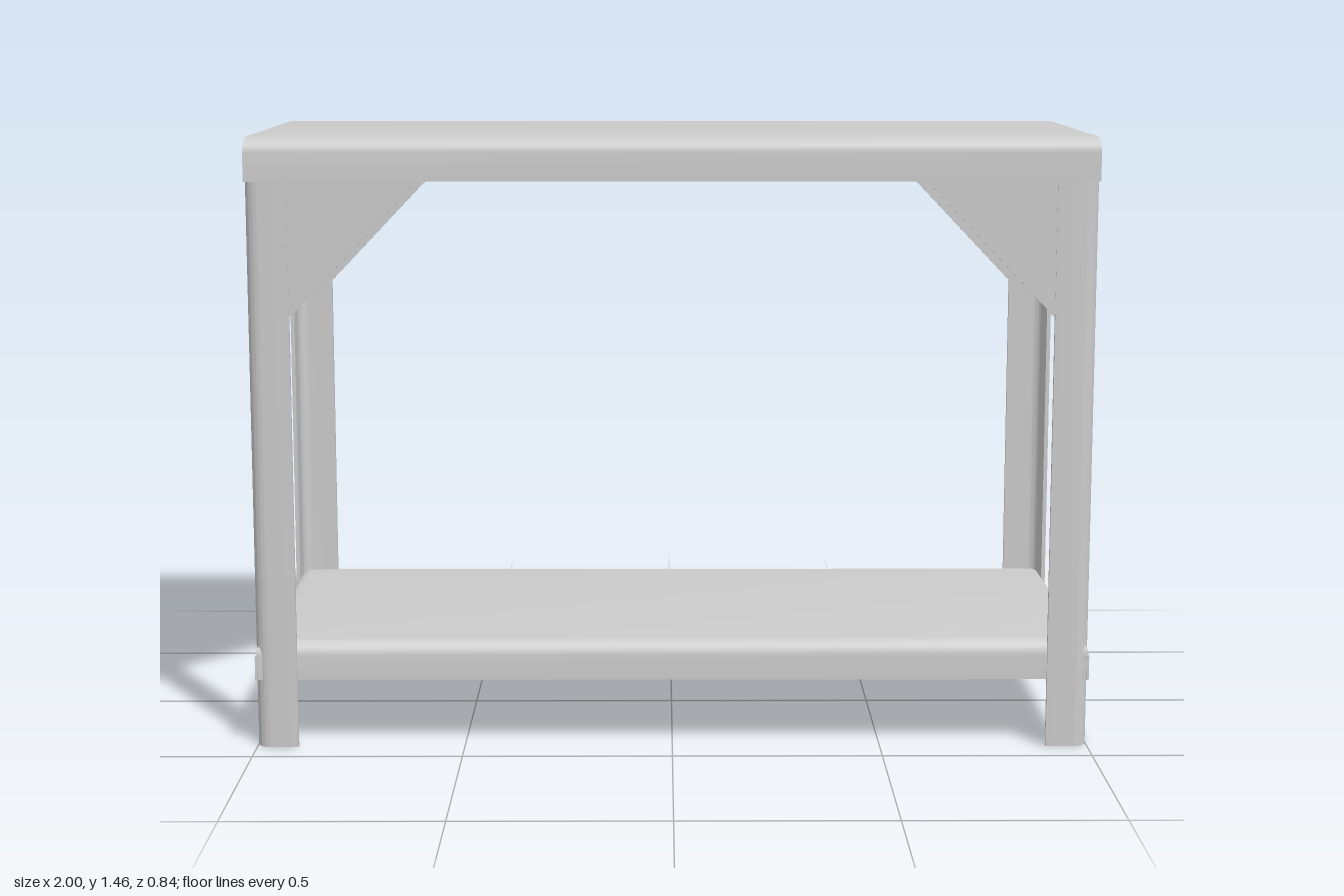
import * as THREE from 'three';
import { toCreasedNormals } from 'three/addons/utils/BufferGeometryUtils.js';

const material = new THREE.MeshStandardMaterial({ color: 0xcccccc, side: THREE.DoubleSide });

function addMesh(parent, name, geometry) {
  const mesh = new THREE.Mesh(toCreasedNormals(geometry, 0.6), material);
  mesh.name = name;
  parent.add(mesh);
  return mesh;
}

// Slab whose upper edges are rounded: rows of a box are pulled in along a quarter circle
function roundedSlab(halfX, halfZ, bottom, top, sideRadius, endRadius) {
  const rows = 8;
  const geometry = new THREE.BoxGeometry(2, 1, 2, 1, rows, 1);
  const pos = geometry.attributes.position;
  for (let i = 0; i < pos.count; i++) {
    const row = Math.round((pos.getY(i) + 0.5) * rows);
    const angle = Math.max(0, row - 1) / (rows - 1) * Math.PI / 2;
    const pull = 1 - Math.cos(angle);
    const y = row === 0 ? bottom : top - sideRadius * (1 - Math.sin(angle));
    pos.setXYZ(i,
      Math.sign(pos.getX(i)) * (halfX - endRadius * pull),
      y,
      Math.sign(pos.getZ(i)) * (halfZ - sideRadius * pull));
  }
  return geometry;
}

// Angle-section leg with a rounded outer corner at the origin, arms along -x and -z
function legGeometry(width, thickness, radius, height) {
  const s = new THREE.Shape();
  const inner = radius - thickness;
  s.moveTo(-width, 0);
  s.lineTo(-width, -thickness);
  s.lineTo(-radius, -thickness);
  s.absarc(-radius, -radius, inner, Math.PI / 2, 0, true);
  s.lineTo(-thickness, -width);
  s.lineTo(0, -width);
  s.lineTo(0, -radius);
  s.absarc(-radius, -radius, radius, 0, Math.PI / 2, false);
  s.closePath();
  const geometry = new THREE.ExtrudeGeometry(s, { depth: height, bevelEnabled: false, curveSegments: 8 });
  return geometry.rotateX(Math.PI / 2).translate(0, height, 0);
}

// Triangular corner plate between a leg and the top
function gussetGeometry(thickness) {
  const s = new THREE.Shape();
  s.moveTo(0.9, 1.36);
  s.lineTo(0.595, 1.36);
  s.lineTo(0.9, 1.04);
  s.closePath();
  return new THREE.ExtrudeGeometry(s, { depth: thickness, bevelEnabled: false });
}

export function createModel() {
  const group = new THREE.Group();
  group.name = 'workbench';

  addMesh(group, 'benchTop', roundedSlab(1, 0.42, 1.36, 1.463, 0.036, 0.004));
  addMesh(group, 'lowerShelf', roundedSlab(1, 0.415, 0.165, 0.262, 0.038, 0.038));

  // Thin rails across the shelf ends, lapping over the legs
  for (const side of [1, -1]) {
    const rail = addMesh(group, side > 0 ? 'leftShelfRail' : 'rightShelfRail',
      new THREE.BoxGeometry(0.006, 0.06, 0.836));
    rail.position.set(side * 0.998, 0.193, 0);
  }

  // Four legs, each with a corner plate, turned to face outward
  for (const side of [1, -1]) {
    for (const face of [1, -1]) {
      const label = (face > 0 ? 'front' : 'back') + (side > 0 ? 'Left' : 'Right');

      const leg = legGeometry(0.1, 0.01, 0.035, 1.365);
      // The leg is drawn for +x, back or front; half turns and quarter turns place the rest
      const turn = side > 0 ? (face > 0 ? 0 : Math.PI / 2) : (face > 0 ? -Math.PI / 2 : Math.PI);
      leg.rotateY(turn);
      addMesh(group, label + 'Leg', leg).position.set(side, 0, face * 0.42);

      const gusset = gussetGeometry(0.008).translate(0, 0, 0.41);
      if (side * face < 0) {
        // Mirrored across the bench by turning half round
        gusset.translate(0, 0, -0.414).rotateY(Math.PI).translate(0, 0, 0.414);
      }
      if (face < 0) gusset.rotateY(Math.PI);
      addMesh(group, label + 'Gusset', gusset);
    }
  }
  return group;
}
